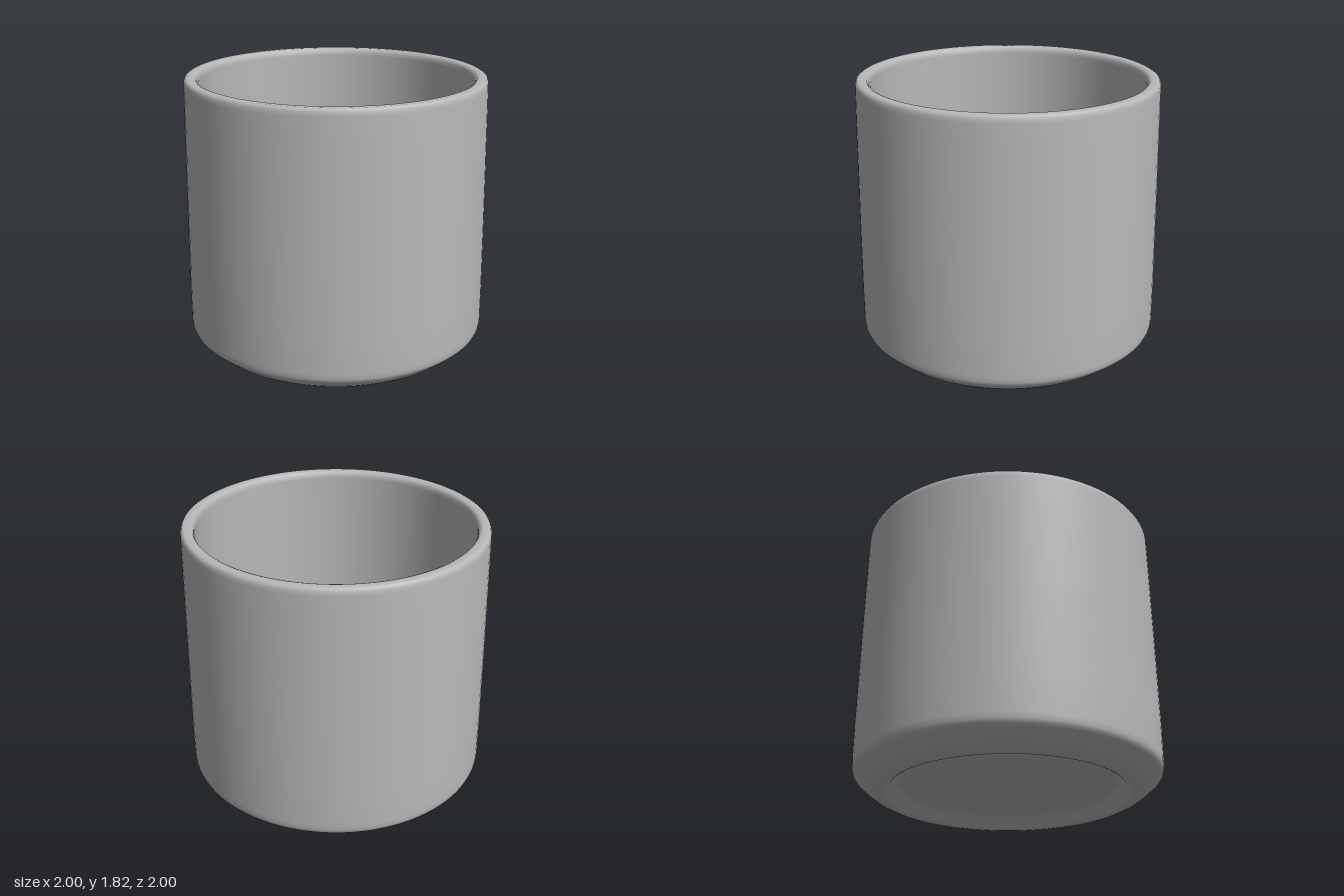
import * as THREE from 'three';

export function createModel() {
  const group = new THREE.Group();
  const gray = new THREE.MeshStandardMaterial({ color: 0xb8b8b8 });
  gray.name = 'plain gray';

  // One closed section, from the underside up the outside, over the rim and down to the floor
  const section = [
    // recessed underside and foot ring
    [0, 0.08], [0.68, 0.08], [0.7, 0.078], [0.72, 0.068], [0.765, 0.012], [0.785, 0.001], [0.8, 0],
    // rounded chamfer
    [0.84, 0.006], [0.88, 0.024], [0.92, 0.052], [0.975, 0.1], [0.988, 0.115], [0.995, 0.135], [0.998, 0.17],
    // slightly tapered outer wall
    [0.998, 0.4], [0.991, 1.0], [0.982, 1.6], [0.979, 1.77],
    // rounded rim
    [0.977, 1.795], [0.969, 1.811], [0.955, 1.818], [0.92, 1.818], [0.904, 1.811], [0.895, 1.796],
    // inner wall and floor fillet
    [0.89, 1.77], [0.89, 0.3], [0.887, 0.24], [0.872, 0.195], [0.845, 0.165], [0.81, 0.155],
    // domed floor
    [0.77, 0.16], [0.7, 0.178], [0.6, 0.204], [0.45, 0.232], [0.25, 0.25], [0, 0.255],
  ].map(([r, y]) => new THREE.Vector2(r, y));

  const cup = new THREE.Mesh(new THREE.LatheGeometry(section, 96), gray);
  cup.name = 'cup';
  group.add(cup);
  return group;
}
